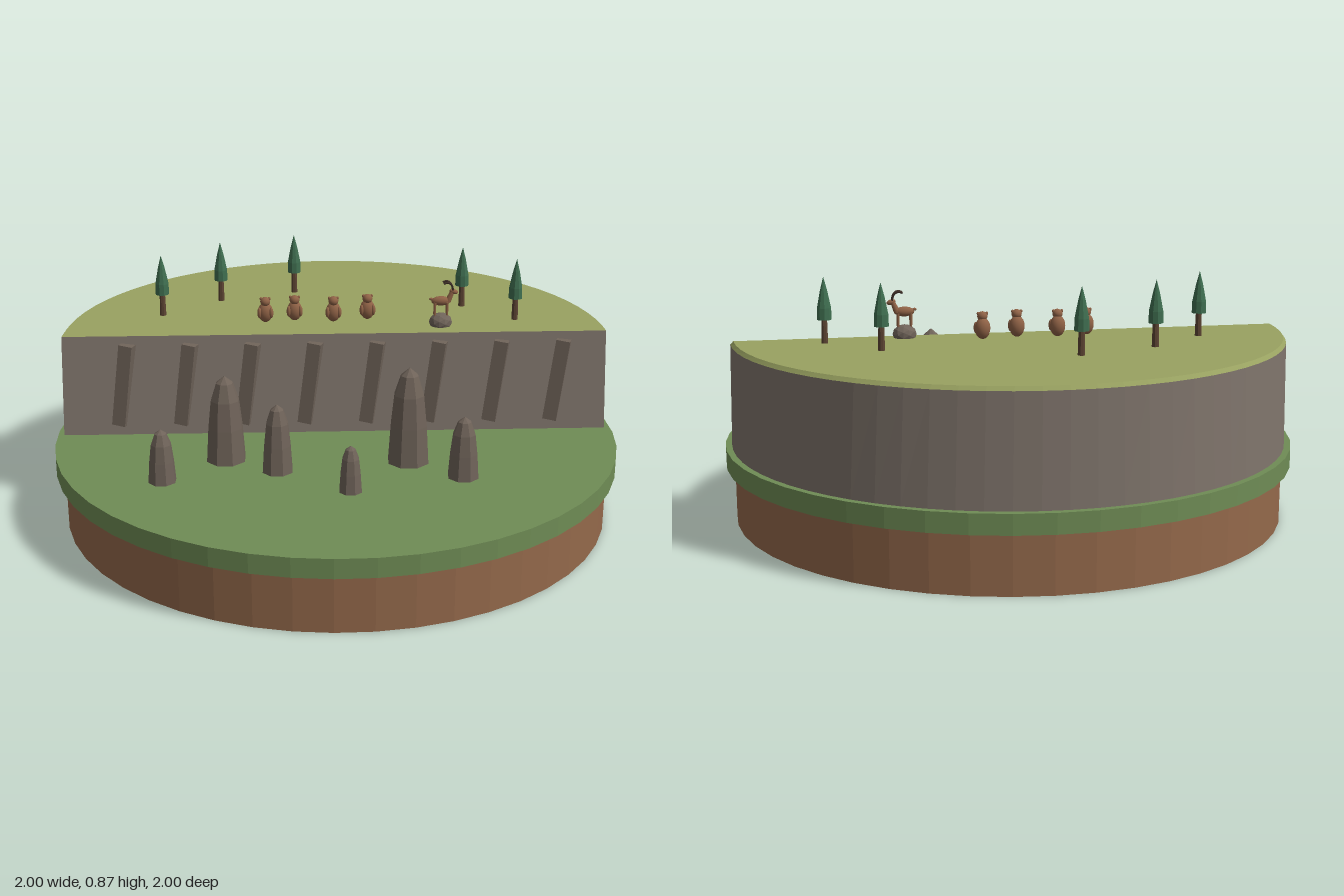
import * as THREE from 'three';

const mat = (name, color, flatShading = true) => {
  const m = new THREE.MeshStandardMaterial({ color, flatShading });
  m.name = name;
  return m;
};

function addMesh(parent, name, geometry, material, x = 0, y = 0, z = 0) {
  const mesh = new THREE.Mesh(geometry, material);
  mesh.name = name;
  mesh.position.set(x, y, z);
  parent.add(mesh);
  return mesh;
}

function addGroup(parent, name, x = 0, y = 0, z = 0, yaw = 0) {
  const g = new THREE.Group();
  g.name = name;
  g.position.set(x, y, z);
  g.rotation.y = yaw;
  parent.add(g);
  return g;
}

// Lathe from [radius, height] pairs
const lathe = (profile, sides) =>
  new THREE.LatheGeometry(profile.map(([r, y]) => new THREE.Vector2(r, y)), sides);

// Cut-off disc: straight front edge at z = front, then an arc round the back
function segmentRing({ y, radius, front }, steps = 36) {
  const start = Math.asin(front / radius);
  const sweep = Math.PI + 2 * start;
  const ring = [];
  for (let i = 0; i <= steps; i++) {
    const t = start - (sweep * i) / steps;
    ring.push([radius * Math.cos(t), y, radius * Math.sin(t)]);
  }
  return ring;
}

// Sloping wall between two cut-off discs, with an optional flat top
function segmentSolid(lower, upper, closed) {
  const a = segmentRing(lower), b = segmentRing(upper), pos = [];
  const n = a.length;
  for (let i = 0; i < n; i++) {
    const j = (i + 1) % n;
    pos.push(...a[i], ...a[j], ...b[j], ...a[i], ...b[j], ...b[i]);
    if (closed) pos.push(0, upper.y, -0.4, ...b[i], ...b[j]);
  }
  const g = new THREE.BufferGeometry();
  g.setAttribute('position', new THREE.Float32BufferAttribute(pos, 3));
  g.computeVertexNormals();
  return g;
}

export function createModel() {
  const earth = mat('earth brown', 0x94694b);
  const meadow = mat('meadow green', 0x6f8c55);
  const plateau = mat('plateau olive', 0x99a261);
  const rock = mat('cliff grey', 0x80756c);
  const darkRock = mat('dark rock', 0x6f6359);
  const leaf = mat('conifer green', 0x3f6e50);
  const bark = mat('bark brown', 0x5c4433);
  const fur = mat('fur brown', 0x8f6246, false);
  const horn = mat('horn dark', 0x3f3028, false);

  const model = new THREE.Group();
  model.name = 'cliffDiorama';
  const TOP = 0.64, GROUND = 0.267, YAW = -Math.PI / 9;

  // Round base
  addMesh(model, 'earthBase', new THREE.CylinderGeometry(0.97, 0.97, 0.2, 48), earth, 0, 0.1);
  addMesh(model, 'meadowDisc', new THREE.CylinderGeometry(1, 1, 0.067, 48), meadow, 0, 0.2335);

  // Cliff with its grassy top
  const cliff = addGroup(model, 'cliff', 0, 0, 0, YAW);
  const foot = { y: GROUND, radius: 0.977, front: 0 };
  const brow = { y: 0.627, radius: 0.97, front: -0.036 };
  const rim = { y: TOP, radius: 0.96, front: -0.05 };
  addMesh(cliff, 'cliffWall', segmentSolid(foot, brow, false), rock);
  addMesh(cliff, 'plateauGrass', segmentSolid(brow, rim, true), plateau);

  // Leaning ribs along the cliff face
  const ribGeo = new THREE.BoxGeometry(0.05, 0.3, 0.05);
  for (let i = 0; i < 8; i++) {
    const rib = addMesh(cliff, 'cliffRib', ribGeo, darkRock, -0.755 + 0.222 * i, 0.45, -0.022);
    rib.rotation.set(-0.06, -0.3, -0.13);
  }

  // Rock spires: x, z, radius, height
  const spireProfile = [[1, 0], [0.88, 0.4], [0.72, 0.72], [0.42, 0.92], [0, 1]];
  const spireGeo = lathe(spireProfile, 8);
  [
    [-0.70, 0.185, 0.048, 0.185], [-0.445, 0.09, 0.07, 0.305],
    [-0.315, 0.25, 0.054, 0.24], [0.13, 0.34, 0.074, 0.34],
    [-0.15, 0.495, 0.04, 0.16], [0.245, 0.53, 0.054, 0.215],
  ].forEach(([x, z, r, h]) => {
    addMesh(model, 'rockSpire', spireGeo, darkRock, x, GROUND, z).scale.set(r, h, r);
  });

  // Conifers
  const trunkGeo = new THREE.CylinderGeometry(0.01, 0.012, 0.09, 8);
  const crownGeo = lathe([[0, 0.078], [0.025, 0.08], [0.024, 0.12], [0.012, 0.18], [0, 0.225]], 9);
  [[-0.505, -0.44], [-0.25, -0.535], [0.045, -0.535], [0.56, -0.13], [0.665, 0.09]].forEach(([x, z]) => {
    const tree = addGroup(model, 'conifer', x, TOP, z);
    addMesh(tree, 'trunk', trunkGeo, bark, 0, 0.045);
    addMesh(tree, 'crown', crownGeo, leaf);
  });

  // Small seated animals in a row
  const ball = new THREE.SphereGeometry(1, 14, 10);
  const blob = (parent, name, material, x, y, z, sx, sy, sz) => {
    const m = addMesh(parent, name, ball, material, x, y, z);
    m.scale.set(sx, sy, sz);
    return m;
  };
  [[-0.185, -0.22], [-0.08, -0.2], [0.045, -0.135], [0.17, -0.115]].forEach(([x, z]) => {
    const animal = addGroup(model, 'seatedAnimal', x, TOP, z, YAW);
    blob(animal, 'body', fur, 0, 0.037, 0, 0.027, 0.037, 0.025);
    blob(animal, 'head', fur, 0, 0.078, 0.005, 0.018, 0.017, 0.018);
    for (const s of [-1, 1]) {
      blob(animal, 'ear', fur, s * 0.015, 0.088, 0.003, 0.005, 0.006, 0.004);
      blob(animal, 'arm', fur, s * 0.021, 0.038, 0.014, 0.008, 0.02, 0.009);
    }
  });

  // Boulder with a horned goat standing on it
  const boulder = addMesh(model, 'boulder', new THREE.IcosahedronGeometry(1, 1), darkRock, 0.385, 0.652, 0.05);
  boulder.scale.set(0.042, 0.034, 0.04);
  const goat = addGroup(model, 'goat', 0.385, 0.68, 0.05, YAW);
  blob(goat, 'body', fur, 0, 0.05, 0, 0.035, 0.017, 0.015);
  const neck = addMesh(goat, 'neck', new THREE.CylinderGeometry(0.008, 0.011, 0.04, 8), fur, 0.032, 0.066, 0);
  neck.rotation.z = -0.4;
  blob(goat, 'head', fur, 0.045, 0.084, 0, 0.016, 0.009, 0.009).rotation.z = -0.3;
  blob(goat, 'tail', fur, -0.035, 0.057, 0, 0.008, 0.005, 0.004);
  const legGeo = new THREE.CylinderGeometry(0.005, 0.004, 0.048, 6);
  for (const s of [-1, 1]) {
    for (const x of [-0.022, 0.022]) addMesh(goat, 'leg', legGeo, fur, x, 0.022, s * 0.009);
    const curve = new THREE.CatmullRomCurve3([
      new THREE.Vector3(0.042, 0.09, s * 0.005),
      new THREE.Vector3(0.036, 0.11, s * 0.008),
      new THREE.Vector3(0.022, 0.12, s * 0.011),
      new THREE.Vector3(0.006, 0.116, s * 0.013),
    ]);
    addMesh(goat, 'horn', new THREE.TubeGeometry(curve, 10, 0.0038, 6), horn);
  }

  return model;
}
